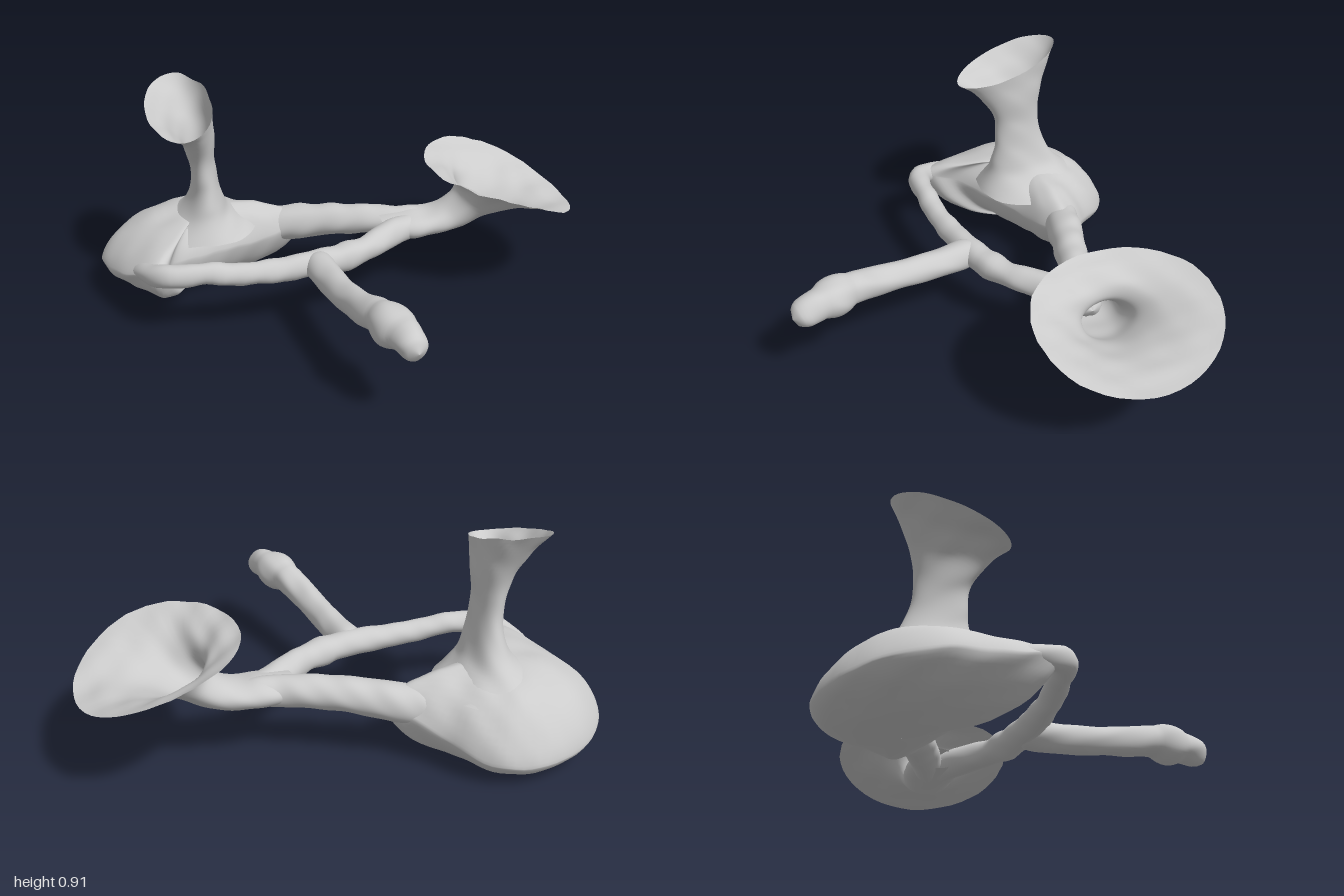
import * as THREE from 'three';

const SIDES = 48;
const material = new THREE.MeshStandardMaterial({ color: 0xcccccc, side: THREE.DoubleSide });
const V = (x, y, z) => new THREE.Vector3(x, y, z);

// Gentle organic lumpiness, based only on position
function lumpy(p, a = 0.002) {
  const n = Math.sin(p.x * 31 + p.z * 27) + Math.sin(p.y * 47 - p.z * 33 + 1) + 0.7 * Math.sin(p.x * 57 - p.y * 39 + 2);
  return V(p.x + a * 0.5 * n, p.y + a * n, p.z - a * 0.6 * n);
}

// Skin over a list of closed rings
function skin(name, rings) {
  const pos = [], index = [], n = rings[0].length;
  rings.forEach(r => r.forEach(p => pos.push(...lumpy(p).toArray())));
  for (let i = 0; i < rings.length - 1; i++)
    for (let j = 0; j < n; j++) {
      const a = i * n + j, b = i * n + (j + 1) % n;
      index.push(a, a + n, b, b, a + n, b + n);
    }
  const g = new THREE.BufferGeometry();
  g.setAttribute('position', new THREE.Float32BufferAttribute(pos, 3));
  g.setIndex(index);
  g.computeVertexNormals();
  const mesh = new THREE.Mesh(g, material);
  mesh.name = name;
  return mesh;
}

// Open trumpet from elliptical sections: [x, y, z, rx, rz, tilt about z, tilt about x, raise of the sides]
function trumpet(name, sections, steps = 40) {
  const columns = [];
  for (let j = 0; j < SIDES; j++) {
    const t = j / SIDES * Math.PI * 2;
    columns.push(new THREE.CatmullRomCurve3(sections.map(([x, y, z, rx, rz, tz = 0, tx = 0, raise = 0]) =>
      V(rx * Math.cos(t), raise * Math.sin(t) ** 2, rz * Math.sin(t))
        .applyEuler(new THREE.Euler(THREE.MathUtils.degToRad(tx), 0, THREE.MathUtils.degToRad(tz)))
        .add(V(x, y, z)))));
  }
  const rings = [];
  for (let i = 0; i <= steps; i++) rings.push(columns.map(c => c.getPoint(i / steps)));
  return skin(name, rings);
}

// Branch of varying thickness: [x, y, z, radius], with rounded ends
function branch(name, pts, steps = 60) {
  const path = new THREE.CatmullRomCurve3(pts.map(p => V(p[0], p[1], p[2])));
  const radius = new THREE.CatmullRomCurve3(pts.map(p => V(p[3], 0, 0)));
  const frames = path.computeFrenetFrames(steps);
  const length = path.getLength(), rings = [];
  for (let i = 0; i <= steps; i++) {
    const k = i / steps, c = path.getPointAt(k);
    let r = radius.getPoint(path.getUtoTmapping(k)).x;
    const e = Math.min(1, Math.min(k, 1 - k) * length / r);
    r *= Math.sqrt(1 - (1 - e) ** 2);
    const ring = [];
    for (let j = 0; j < SIDES; j++) {
      const t = j / SIDES * Math.PI * 2;
      ring.push(c.clone().addScaledVector(frames.binormals[i], r * Math.cos(t))
        .addScaledVector(frames.normals[i], r * Math.sin(t)));
    }
    rings.push(ring);
  }
  return skin(name, rings);
}

// Broad tilted body: outline swelling to a rounded underside and a domed top
function body() {
  const outline = new THREE.CatmullRomCurve3([
    [-1, 0.145, -0.46], [-0.96, 0.12, -0.61], [-0.82, 0.1, -0.755], [-0.6, 0.09, -0.825],
    [-0.43, 0.1, -0.775], [-0.31, 0.15, -0.635], [-0.2, 0.21, -0.535], [-0.12, 0.24, -0.46],
    [-0.23, 0.22, -0.39], [-0.4, 0.2, -0.34], [-0.57, 0.21, -0.26], [-0.71, 0.235, -0.18],
    [-0.75, 0.265, -0.07], [-0.81, 0.26, -0.035], [-0.89, 0.22, -0.15], [-0.965, 0.17, -0.31]
  ].map(p => V(...p)), true).getPoints(SIDES * 2).slice(0, -1);
  const top = V(-0.55, 0.355, -0.45), bottom = V(-0.58, 0.005, -0.58), rings = [];
  const N = 16;
  for (let i = -N; i <= N; i++) {
    const c = i < 0 ? bottom : top;
    const scale = Math.sin(Math.PI / 2 * (1 - Math.abs(i) / N));
    const lift = i < 0 ? (1 - scale ** 3) ** 0.7 : (1 - scale ** 2.6) ** 0.7;
    rings.push(outline.map(p => V(
      THREE.MathUtils.lerp(c.x, p.x, scale),
      THREE.MathUtils.lerp(p.y, c.y, lift),
      THREE.MathUtils.lerp(c.z, p.z, scale))));
  }
  return skin('body', rings);
}

export function createModel() {
  const model = new THREE.Group();
  model.name = 'branchingForm';
  model.add(body());

  // Upright horn flaring out of the body
  model.add(trumpet('uprightHorn', [
    [-0.55, 0.27, -0.46, 0.22, 0.24], [-0.55, 0.35, -0.435, 0.115, 0.175],
    [-0.545, 0.415, -0.415, 0.076, 0.138], [-0.545, 0.5, -0.403, 0.057, 0.11],
    [-0.555, 0.6, -0.395, 0.055, 0.1], [-0.57, 0.7, -0.385, 0.073, 0.125, 0, 8],
    [-0.6, 0.78, -0.38, 0.1, 0.175, 0, 13], [-0.635, 0.838, -0.38, 0.135, 0.23, 0, 17]
  ]));

  // Wide side horn, bending up out of the merged branches, its rim raised front and back
  model.add(trumpet('sideHorn', [
    [0.18, 0.27, -0.27, 0.045, 0.08, -90], [0.3, 0.27, -0.265, 0.055, 0.105, -88],
    [0.42, 0.275, -0.265, 0.055, 0.1, -80], [0.5, 0.3, -0.26, 0.065, 0.1, -60],
    [0.57, 0.35, -0.25, 0.08, 0.12, -45], [0.62, 0.395, -0.24, 0.13, 0.18, -28, 0, 0.01],
    [0.665, 0.425, -0.24, 0.22, 0.27, -20, 0, 0.025], [0.69, 0.437, -0.245, 0.325, 0.37, -18, 0, 0.045]
  ]));

  // Front branch looping from the body's side to the side horn
  model.add(branch('frontBranch', [
    [-0.87, 0.2, -0.24, 0.03], [-0.82, 0.245, -0.1, 0.042], [-0.75, 0.275, -0.005, 0.047],
    [-0.6, 0.285, 0.025, 0.043], [-0.4, 0.265, 0.03, 0.045], [-0.2, 0.268, 0.01, 0.052],
    [-0.05, 0.268, -0.02, 0.055], [0.1, 0.268, -0.09, 0.055], [0.2, 0.27, -0.175, 0.057],
    [0.32, 0.27, -0.24, 0.05], [0.42, 0.275, -0.265, 0.04]
  ]));

  // Back branch running from the body to the side horn
  model.add(branch('backBranch', [
    [-0.5, 0.18, -0.52, 0.06], [-0.33, 0.2, -0.5, 0.075], [-0.2, 0.23, -0.46, 0.077],
    [0, 0.262, -0.385, 0.068], [0.15, 0.27, -0.33, 0.064], [0.28, 0.27, -0.29, 0.06],
    [0.42, 0.275, -0.27, 0.045]
  ]));

  // Free arm reaching forward
  model.add(branch('forwardArm', [
    [-0.16, 0.268, -0.03, 0.05], [-0.14, 0.265, 0.06, 0.062], [-0.11, 0.275, 0.25, 0.057],
    [-0.08, 0.3, 0.4, 0.058], [-0.03, 0.335, 0.58, 0.064], [0.015, 0.342, 0.71, 0.064],
    [0.045, 0.325, 0.83, 0.058]
  ]));
  return model;
}
